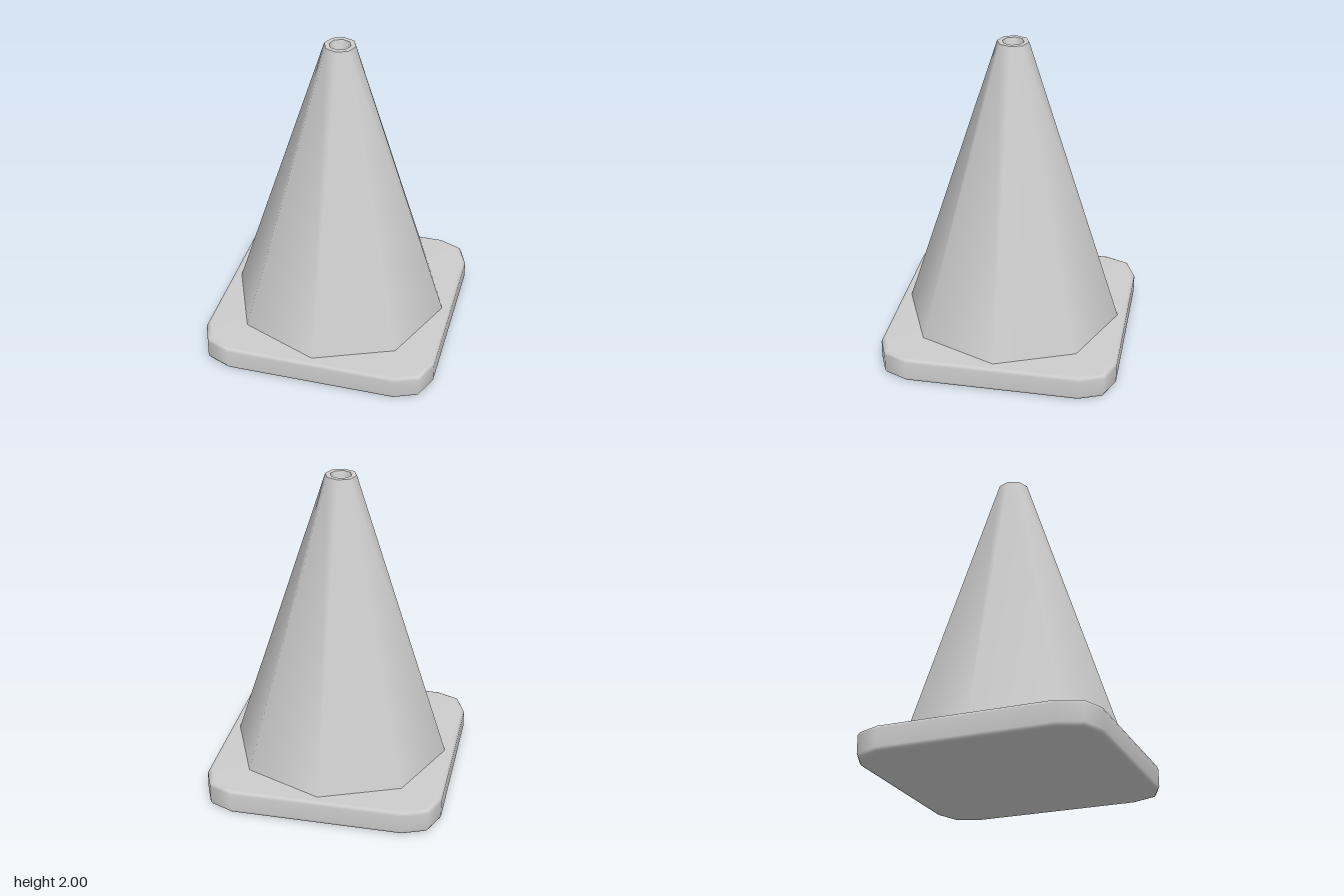
import * as THREE from 'three';

export function createModel() {
  const group = new THREE.Group();
  const grey = new THREE.MeshStandardMaterial({ color: 0xcccccc });
  grey.name = 'light grey';

  const add = (name, geometry) => {
    const mesh = new THREE.Mesh(geometry, grey);
    mesh.name = name;
    group.add(mesh);
  };

  // Eight-sided surface of revolution between profile points
  const turned = (...profile) =>
    new THREE.LatheGeometry(profile.map(([r, y]) => new THREE.Vector2(r, y)), 8);

  // Square base with faceted corners and softened upper and lower edges
  const corner = [[0.745, 0.54], [0.685, 0.685], [0.54, 0.745]];
  const outline = [];
  for (let q = 0; q < 4; q++) {
    const c = Math.round(Math.cos(q * Math.PI / 2));
    const s = Math.round(Math.sin(q * Math.PI / 2));
    for (const [x, z] of corner) outline.push([x * c - z * s, x * s + z * c]);
  }
  const levels = [[0, 0.965], [0.007, 0.988], [0.025, 1], [0.135, 1], [0.153, 0.99], [0.16, 0.968]];
  const n = outline.length;
  const positions = [];
  const indices = [];
  for (const [y, scale] of levels) {
    for (const [x, z] of outline) positions.push(x * scale, y, z * scale);
  }
  const bottom = levels.length * n;
  const top = bottom + 1;
  positions.push(0, 0, 0, 0, 0.16, 0);
  for (let i = 0; i < n; i++) {
    const j = (i + 1) % n;
    for (let k = 0; k < levels.length - 1; k++) {
      const a = k * n + i, b = k * n + j;
      indices.push(a, a + n, b, b, a + n, b + n);
    }
    const last = (levels.length - 1) * n;
    indices.push(bottom, i, j, top, last + j, last + i);
  }
  const base = new THREE.BufferGeometry();
  base.setAttribute('position', new THREE.Float32BufferAttribute(positions, 3));
  base.setIndex(indices);
  base.computeVertexNormals();
  add('base', base);

  // Tapered body, flat rim and the recess in its tip
  add('coneBody', turned([0.69, 0.155], [0.097, 2]));
  add('rim', turned([0.097, 2], [0.066, 2]));
  add('recessWall', turned([0.066, 2], [0.036, 1.9]));
  add('recessFloor', turned([0.036, 1.9], [0, 1.9]));

  return group;
}
